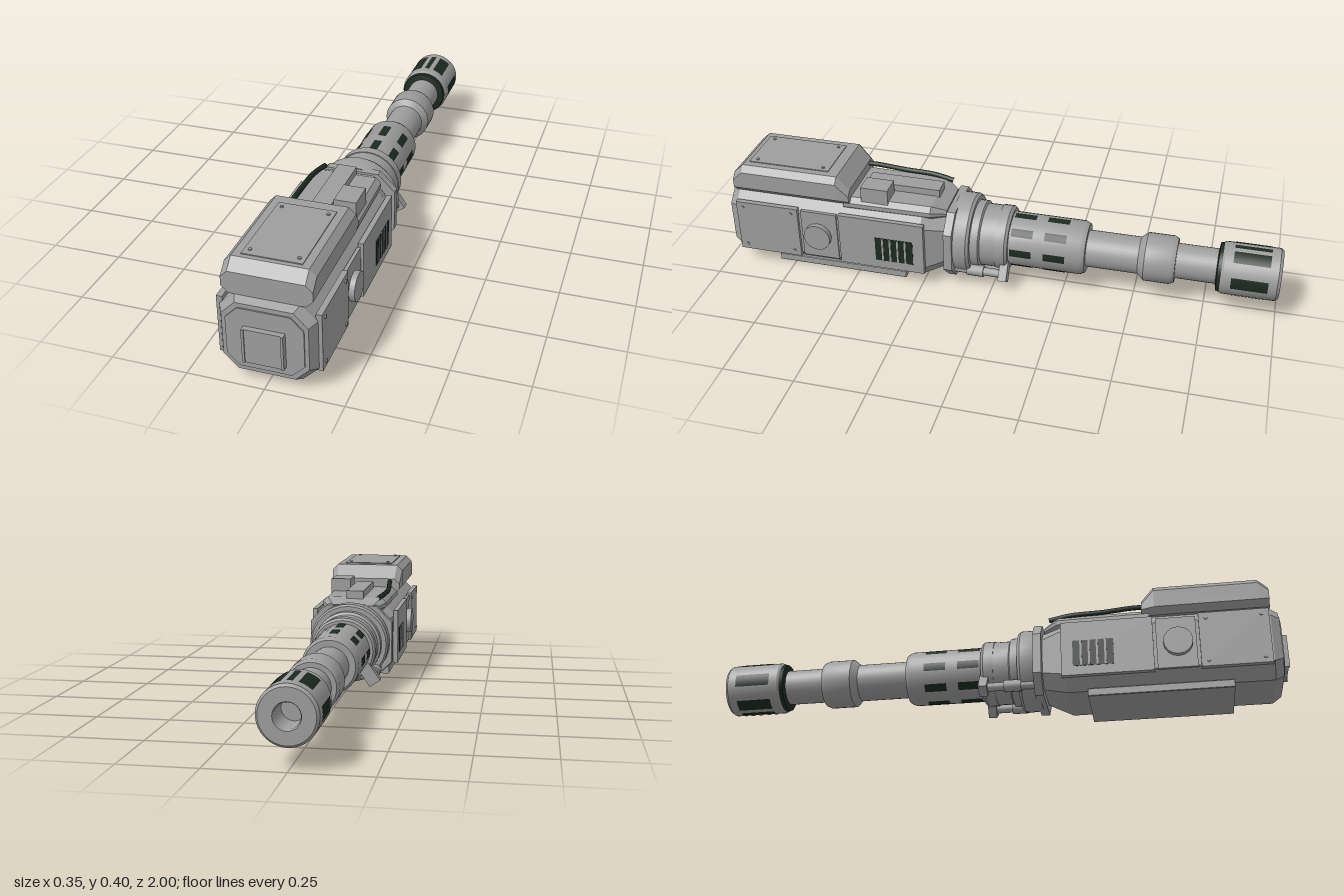
import * as THREE from 'three';
import { toCreasedNormals } from 'three/addons/utils/BufferGeometryUtils.js';

const grey = new THREE.MeshStandardMaterial({ color: 0x9e9e9e });
grey.name = 'gun metal grey';
const dark = new THREE.MeshStandardMaterial({ color: 0x1c2a20 });
dark.name = 'dark green black';

const AXIS = 0.16; // height of the barrel axis

// Chamfered hull: octagonal sections [z, halfWidth, bottom, top, chamfer], z ascending
function loft(sections) {
  const rings = sections.map(([z, w, b, t, c]) => [
    [w, b + c], [w, t - c], [w - c, t], [-w + c, t],
    [-w, t - c], [-w, b + c], [-w + c, b], [w - c, b],
  ].map(([x, y]) => [x, y, z]));
  const pos = [];
  const tri = (...p) => p.forEach((v) => pos.push(...v));
  for (let i = 0; i < rings.length - 1; i++) {
    for (let j = 0; j < 8; j++) {
      const k = (j + 1) % 8, a = rings[i], b = rings[i + 1];
      tri(a[j], a[k], b[k]);
      tri(a[j], b[k], b[j]);
    }
  }
  const first = rings[0], last = rings[rings.length - 1];
  for (let j = 1; j < 7; j++) {
    tri(first[0], first[j + 1], first[j]);
    tri(last[0], last[j], last[j + 1]);
  }
  const g = new THREE.BufferGeometry();
  g.setAttribute('position', new THREE.Float32BufferAttribute(pos, 3));
  g.computeVertexNormals();
  return g;
}

// Turned part around the barrel axis; points are [radius, z] with z falling
function turned(points) {
  const g = new THREE.LatheGeometry(points.map(([r, z]) => new THREE.Vector2(r, -z)), 32);
  g.rotateX(-Math.PI / 2);
  return toCreasedNormals(g, 0.5);
}

export function createModel() {
  const model = new THREE.Group();
  const add = (name, geometry, material = grey, x = 0, y = 0, z = 0, parent = model) => {
    const m = new THREE.Mesh(geometry, material);
    m.name = name;
    m.position.set(x, y, z);
    parent.add(m);
    return m;
  };
  const box = (name, x0, x1, y0, y1, z0, z1, mat = grey) =>
    add(name, new THREE.BoxGeometry(x1 - x0, y1 - y0, z1 - z0), mat,
      (x0 + x1) / 2, (y0 + y1) / 2, (z0 + z1) / 2);

  // Main housing
  add('housing', loft([
    [0.165, 0.115, 0.055, 0.27, 0.045],
    [0.25, 0.152, 0.024, 0.29, 0.048],
    [0.945, 0.152, 0.022, 0.29, 0.05],
    [0.975, 0.135, 0.04, 0.277, 0.045],
  ]));
  add('rearFacePlate', loft([[0.97, 0.122, 0.055, 0.262, 0.04], [0.979, 0.122, 0.055, 0.262, 0.04]]));
  box('rearHatch', -0.058, 0.058, 0.085, 0.203, 0.97, 0.996);
  for (const s of [-1, 1]) box('hatchEdge', s * 0.061 - 0.004, s * 0.061 + 0.004, 0.085, 0.203, 0.97, 1);

  // Base plate
  add('basePlate', loft([[0.32, 0.12, 0, 0.028, 0.002], [0.81, 0.12, 0, 0.028, 0.002]]));

  // Upper box with its bolted lid
  add('upperBox', loft([
    [0.515, 0.135, 0.285, 0.345, 0.02],
    [0.56, 0.142, 0.288, 0.395, 0.022],
    [0.915, 0.142, 0.288, 0.395, 0.022],
    [0.95, 0.142, 0.288, 0.362, 0.022],
  ]));
  box('upperLid', -0.095, 0.095, 0.39, 0.398, 0.6, 0.9);
  for (const x of [-0.076, 0.076]) for (const z of [0.625, 0.875])
    add('lidBolt', new THREE.CylinderGeometry(0.006, 0.006, 0.008, 8), grey, x, 0.398, z);

  // Front deck, ridge, sensor block and hose
  add('frontDeck', loft([
    [0.17, 0.085, 0.26, 0.288, 0.01],
    [0.22, 0.12, 0.26, 0.312, 0.018],
    [0.54, 0.125, 0.26, 0.312, 0.018],
  ]));
  box('deckRidge', -0.035, 0.03, 0.3, 0.337, 0.21, 0.48);
  box('deckBlock', 0.04, 0.115, 0.3, 0.36, 0.375, 0.475);
  const hosePath = new THREE.CatmullRomCurve3([
    [-0.095, 0.335, 0.53], [-0.1, 0.332, 0.48], [-0.108, 0.32, 0.38],
    [-0.105, 0.318, 0.27], [-0.09, 0.312, 0.19],
  ].map((p) => new THREE.Vector3(...p)));
  add('hose', new THREE.TubeGeometry(hosePath, 24, 0.009, 8), dark);

  // Side panels, vents and round caps, mirrored
  for (const s of [-1, 1]) {
    const side = (name, y0, y1, z0, z1, out, mat) =>
      box(name, Math.min(s * 0.145, s * out), Math.max(s * 0.145, s * out), y0, y1, z0, z1, mat);
    side('rearSidePanel', 0.062, 0.262, 0.705, 0.94, 0.164);
    side('middleSidePanel', 0.068, 0.255, 0.56, 0.695, 0.157);
    side('frontSidePanel', 0.062, 0.262, 0.235, 0.55, 0.163);
    side('ventRecess', 0.095, 0.19, 0.275, 0.415, 0.1645, dark);
    for (let i = 1; i < 5; i++) {
      const z = 0.275 + i * 0.028;
      side('ventBar', 0.095, 0.19, z - 0.0035, z + 0.0035, 0.167);
    }
    const cap = add('sideCap', new THREE.CylinderGeometry(0.05, 0.05, 0.03, 16), grey, s * 0.161, 0.16, 0.633);
    cap.rotation.z = Math.PI / 2;
    for (const y of [0.083, 0.241]) for (const z of [0.73, 0.915]) {
      const bolt = add('panelBolt', new THREE.CylinderGeometry(0.006, 0.006, 0.008, 8), grey, s * 0.164, y, z);
      bolt.rotation.z = Math.PI / 2;
    }
  }

  // Octagonal front plate
  add('frontPlate', loft([[0.135, 0.152, 0.026, 0.293, 0.06], [0.165, 0.152, 0.026, 0.293, 0.06]]));

  // Barrel assembly around one axis
  const barrel = new THREE.Group();
  barrel.name = 'barrel';
  barrel.position.y = AXIS;
  model.add(barrel);
  const turn = (name, pts, mat = grey) => add(name, turned(pts), mat, 0, 0, 0, barrel);
  turn('mountCollar', [
    [0, 0.15], [0.138, 0.15], [0.145, 0.132], [0.145, 0.088], [0.138, 0.078],
    [0.122, 0.078], [0.122, 0.05], [0.113, 0.045], [0.113, -0.015], [0, -0.015],
  ]);
  turn('flange', [[0, -0.01], [0.116, -0.01], [0.116, -0.045], [0.108, -0.055], [0, -0.055]]);
  turn('slottedSleeve', [[0, -0.05], [0.097, -0.05], [0.097, -0.31], [0.088, -0.328], [0, -0.328]]);
  turn('barrelTube', [[0.066, -0.32], [0.066, -0.525], [0.062, -0.63], [0.062, -0.8]]);
  turn('barrelBulge', [[0.066, -0.512], [0.086, -0.535], [0.086, -0.625], [0.078, -0.642], [0.06, -0.642]]);
  turn('muzzleSeal', [[0.06, -0.782], [0.084, -0.786], [0.088, -0.8]], dark);
  turn('muzzle', [
    [0.06, -0.796], [0.086, -0.796], [0.092, -0.806], [0.092, -0.99], [0.084, -1],
    [0.042, -1], [0.038, -0.99], [0.038, -0.9], [0, -0.9],
  ]);

  // Curved slot faces wrapped on the barrel; angle 0 points up
  const slot = (name, r, z0, z1, angle, width) => {
    const g = new THREE.CylinderGeometry(r, r, z1 - z0, 4, 1, true, angle - width / 2, width);
    g.rotateX(-Math.PI / 2);
    add(name, g, dark, 0, 0, (z0 + z1) / 2, barrel);
  };
  for (let i = 0; i < 8; i++) {
    slot('sleeveSlot', 0.0985, -0.14, -0.062, i * Math.PI / 4, 0.3);
    slot('sleeveSlot', 0.0985, -0.26, -0.182, i * Math.PI / 4, 0.3);
  }
  for (let i = 0; i < 6; i++) slot('muzzleSlot', 0.0935, -0.96, -0.835, Math.PI / 6 + i * Math.PI / 3, 0.48);
  for (const a of [0, Math.PI]) slot('narrowMuzzleSlot', 0.0935, -0.96, -0.835, a, 0.2);

  // Recoil rods under the collar, with brackets
  for (const s of [-1, 1]) {
    const rod = add('recoilRod', new THREE.CylinderGeometry(0.015, 0.015, 0.2, 12), grey, s * 0.1, 0.065, 0.05);
    rod.rotation.x = Math.PI / 2;
    const sleeve = add('rodSleeve', new THREE.CylinderGeometry(0.021, 0.021, 0.06, 12), grey, s * 0.1, 0.065, 0.06);
    sleeve.rotation.x = Math.PI / 2;
    const bracket = add('rodBracket', new THREE.BoxGeometry(0.045, 0.075, 0.03), grey, s * 0.095, 0.075, -0.043);
    bracket.rotation.z = s * 0.6;
  }
  return model;
}
